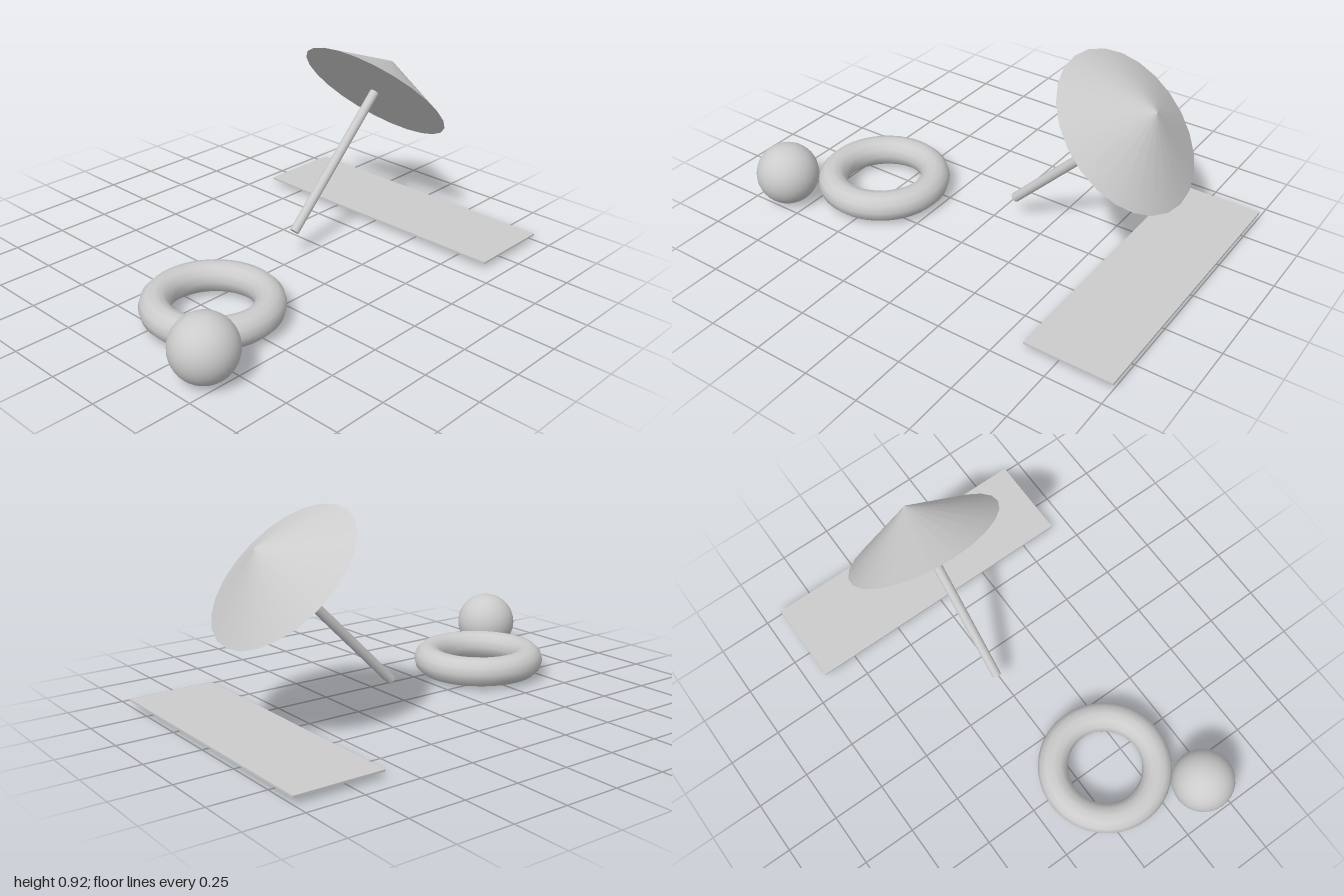
import * as THREE from 'three';

export function createModel() {
  const model = new THREE.Group();
  const material = new THREE.MeshStandardMaterial({ color: 0xcccccc });

  const add = (parent, name, geometry, x, y, z) => {
    const mesh = new THREE.Mesh(geometry, material);
    mesh.name = name;
    mesh.position.set(x, y, z);
    parent.add(mesh);
    return mesh;
  };

  // Beach ball resting on the ground
  add(model, 'beachBall', new THREE.SphereGeometry(0.142, 32, 24), -0.858, 0.142, 0.426);

  // Swim ring lying flat
  add(model, 'swimRing', new THREE.TorusGeometry(0.238, 0.068, 12, 48).rotateX(Math.PI / 2), -0.54, 0.075, 0.122);

  // Thin beach towel
  add(model, 'towel', new THREE.BoxGeometry(0.4, 0.009, 1.334), 0.8, 0.029, 0);

  // Parasol leaning 45 degrees; its origin is the centre of the canopy rim
  const parasol = new THREE.Group();
  parasol.name = 'parasol';
  parasol.position.set(0.632, 0.658, -0.029);
  parasol.rotation.z = -Math.PI / 4;
  model.add(parasol);

  const canopyHeight = 0.174, poleLength = 0.757;
  const canopy = new THREE.ConeGeometry(0.366, canopyHeight, 24).rotateY(Math.PI / 2);
  add(parasol, 'canopy', canopy, 0, canopyHeight / 2, 0);
  add(parasol, 'pole', new THREE.CylinderGeometry(0.022, 0.022, poleLength, 16), 0, -poleLength / 2, 0);

  return model;
}
